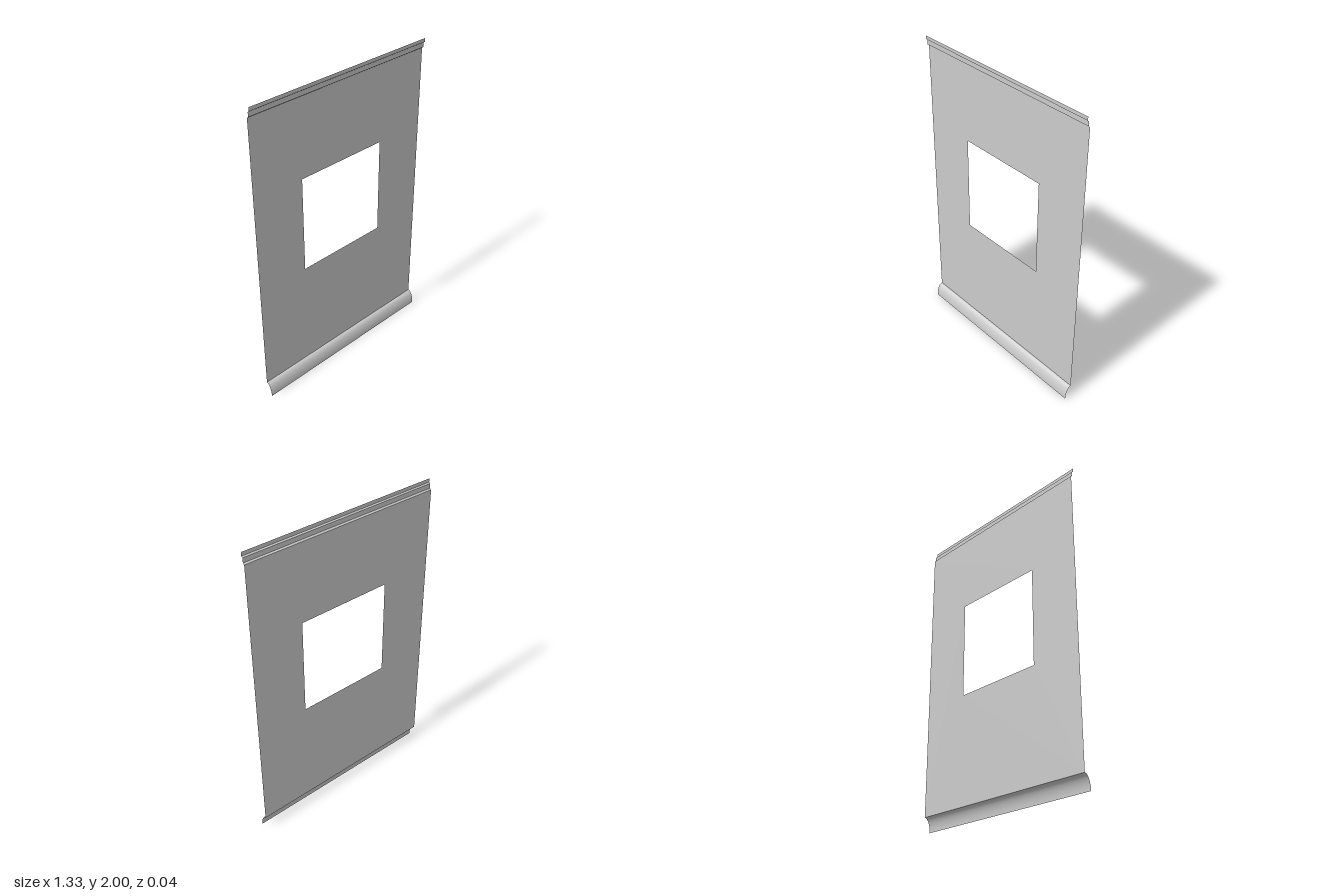
import * as THREE from 'three';

const WIDTH = 1.33, BACK = -0.021, FRONT = 0.021;
const BASE_TOP = 0.09, CROWN_BOTTOM = 1.935;

const material = new THREE.MeshStandardMaterial({ color: 0xcccccc, side: THREE.DoubleSide });

// Thin sheet that follows a [z, y] profile (listed top to bottom) across the wall's width
function profileStrip(name, profile, smooth) {
  let geo = new THREE.PlaneGeometry(WIDTH, 1, 1, profile.length - 1);
  const pos = geo.attributes.position;
  profile.forEach(([z, y], row) => {
    for (let side = 0; side < 2; side++) {
      const i = row * 2 + side;
      pos.setXYZ(i, pos.getX(i), y, z);
    }
  });
  if (!smooth) geo = geo.toNonIndexed();
  geo.computeVertexNormals();
  const mesh = new THREE.Mesh(geo, material);
  mesh.name = name;
  return mesh;
}

export function createModel() {
  const group = new THREE.Group();
  group.name = 'windowWall';

  // Flat wall sheet with a square window opening
  const h = WIDTH / 2;
  const shape = new THREE.Shape([
    new THREE.Vector2(-h, BASE_TOP), new THREE.Vector2(h, BASE_TOP),
    new THREE.Vector2(h, CROWN_BOTTOM), new THREE.Vector2(-h, CROWN_BOTTOM),
  ]);
  const x0 = -0.315, x1 = 0.315, y0 = 0.8, y1 = 1.43;
  shape.holes.push(new THREE.Path([
    new THREE.Vector2(x0, y0), new THREE.Vector2(x0, y1),
    new THREE.Vector2(x1, y1), new THREE.Vector2(x1, y0),
  ]));
  const wall = new THREE.Mesh(new THREE.ShapeGeometry(shape), material);
  wall.name = 'wallPanel';
  wall.position.z = BACK;
  group.add(wall);

  // Stepped crown moulding along the top
  group.add(profileStrip('crownMoulding', [
    [-0.002, 2], [-0.002, 1.977], [-0.011, 1.971],
    [-0.011, 1.942], [BACK, CROWN_BOTTOM],
  ], false));

  // Baseboard bulging forward in a smooth quarter curve
  const base = [];
  const steps = 12;
  for (let i = 0; i <= steps; i++) {
    const a = (i / steps) * Math.PI / 2;
    base.push([BACK + (FRONT - BACK) * Math.sin(a), BASE_TOP * Math.cos(a)]);
  }
  group.add(profileStrip('baseboard', base, true));

  return group;
}
